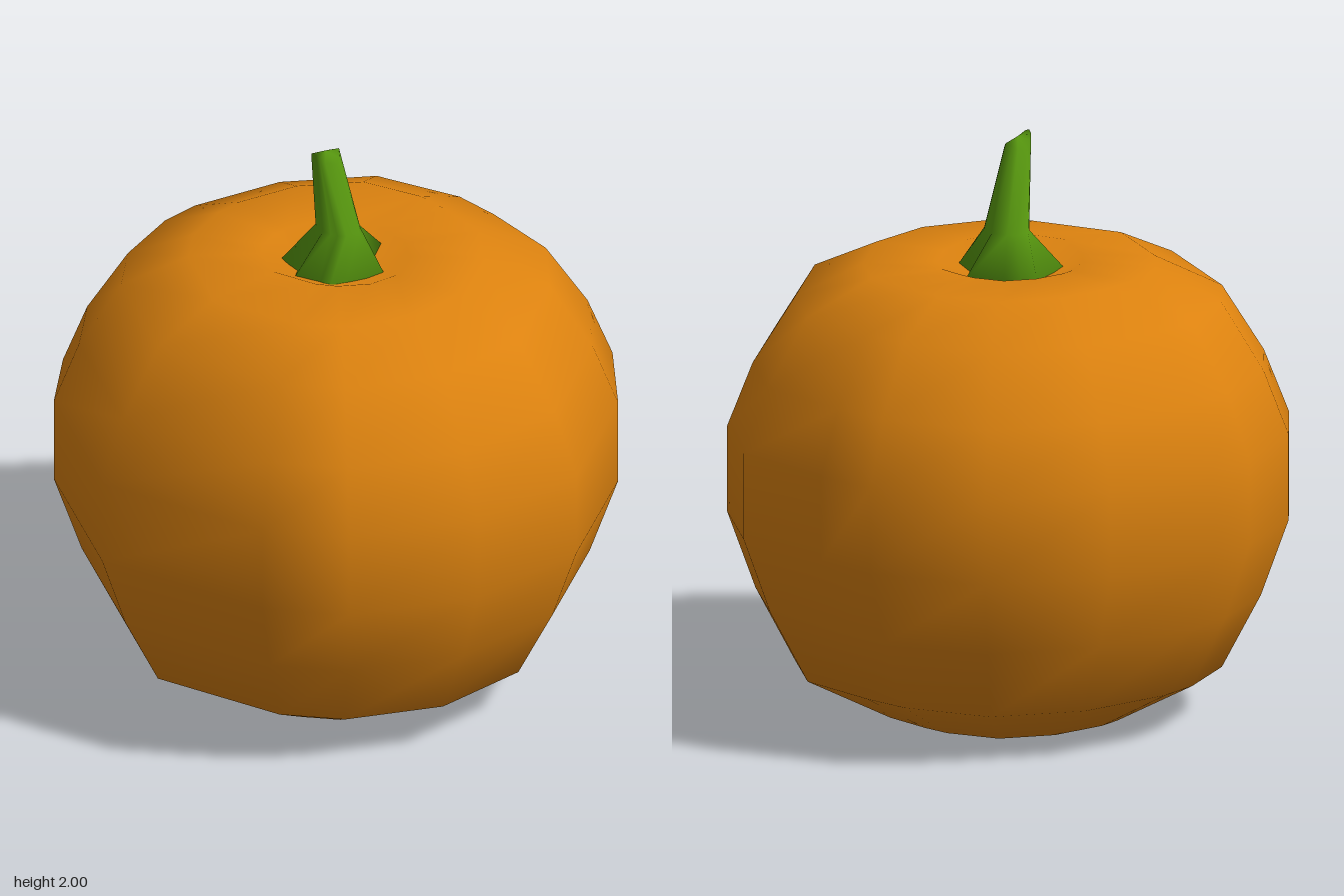
import * as THREE from 'three';

// Skin closed rings of equal point count, ordered bottom to top, with a pole at each end
function loft(rings, bottom, top) {
  const n = rings[0].length;
  const points = [...rings.flat(), bottom, top];
  const low = points.length - 2, high = points.length - 1;
  const index = [];
  for (let j = 0; j < n; j++) {
    const k = (j + 1) % n;
    for (let i = 0; i < rings.length - 1; i++) {
      const a = i * n + j, b = i * n + k;
      index.push(a, a + n, b, b, a + n, b + n);
    }
    const last = (rings.length - 1) * n;
    index.push(low, j, k, high, last + k, last + j);
  }
  const geometry = new THREE.BufferGeometry();
  geometry.setAttribute('position', new THREE.Float32BufferAttribute(points.flat(), 3));
  geometry.setIndex(index);
  geometry.computeVertexNormals();
  return geometry;
}

export function createModel() {
  const orange = new THREE.MeshStandardMaterial({ color: 0xdc820f });
  orange.name = 'orange skin';
  const green = new THREE.MeshStandardMaterial({ color: 0x5a9c10 });
  green.name = 'green stem';
  const group = new THREE.Group();
  group.name = 'pumpkin';

  // Body: uneven outline (x, z) scaled up a rounded profile with a dimpled top
  const outline = [
    [-0.16, -0.97], [0.06, -0.96], [0.44, -0.9], [0.7, -0.66], [0.95, -0.2],
    [0.93, 0.26], [0.7, 0.65], [0.46, 0.82], [-0.16, 0.96], [-0.68, 0.66],
    [-0.86, 0.43], [-0.95, 0.1], [-0.95, -0.09], [-0.83, -0.51], [-0.56, -0.85],
  ];
  const profile = [
    [0.45, 0.005], [0.76, 0.17], [0.9, 0.43], [1, 0.7], [1, 1.0],
    [0.91, 1.22], [0.76, 1.45], [0.52, 1.56], [0.26, 1.56],
  ];
  const bodyRings = profile.map(([s, y], i) => outline.map(([x, z]) => {
    const swell = i === profile.length - 1 ? 0.025 * Math.max(0, z + 0.3 * x) : 0;
    return [x * s, y + swell, z * s];
  }));
  const body = new THREE.Mesh(loft(bodyRings, [0, 0, 0], [0, 1.46, 0]), orange);
  body.name = 'body';
  group.add(body);

  // Stem: lobed foot, oval neck and a narrow ridged tip leaning forward
  const foot = [
    [0.03, -0.21], [0.08, -0.09], [0.17, -0.07], [0.08, 0.03], [0.12, 0.15], [0.05, 0.14],
    [-0.02, 0.18], [-0.08, 0.13], [-0.15, 0.11], [-0.12, 0], [-0.15, -0.13], [-0.05, -0.1],
  ];
  const oval = (rx, rz, cz, y) => foot.map(([x, z]) => {
    const a = Math.atan2(z + 0.02, x);
    return [rx * Math.cos(a), y(Math.cos(a), Math.sin(a)), cz + rz * Math.sin(a)];
  });
  const stemRings = [
    foot.map(([x, z], i) => [x, i % 2 ? 1.48 : 1.53, z]),
    oval(0.085, 0.065, -0.02, () => 1.67),
    oval(0.035, 0.06, 0.04, (c, s) => 1.985 - 0.045 * c * c + 0.012 * s),
  ];
  const stem = new THREE.Mesh(loft(stemRings, [0, 1.47, 0], [0, 1.985, 0.04]), green);
  stem.name = 'stem';
  group.add(stem);

  return group;
}
